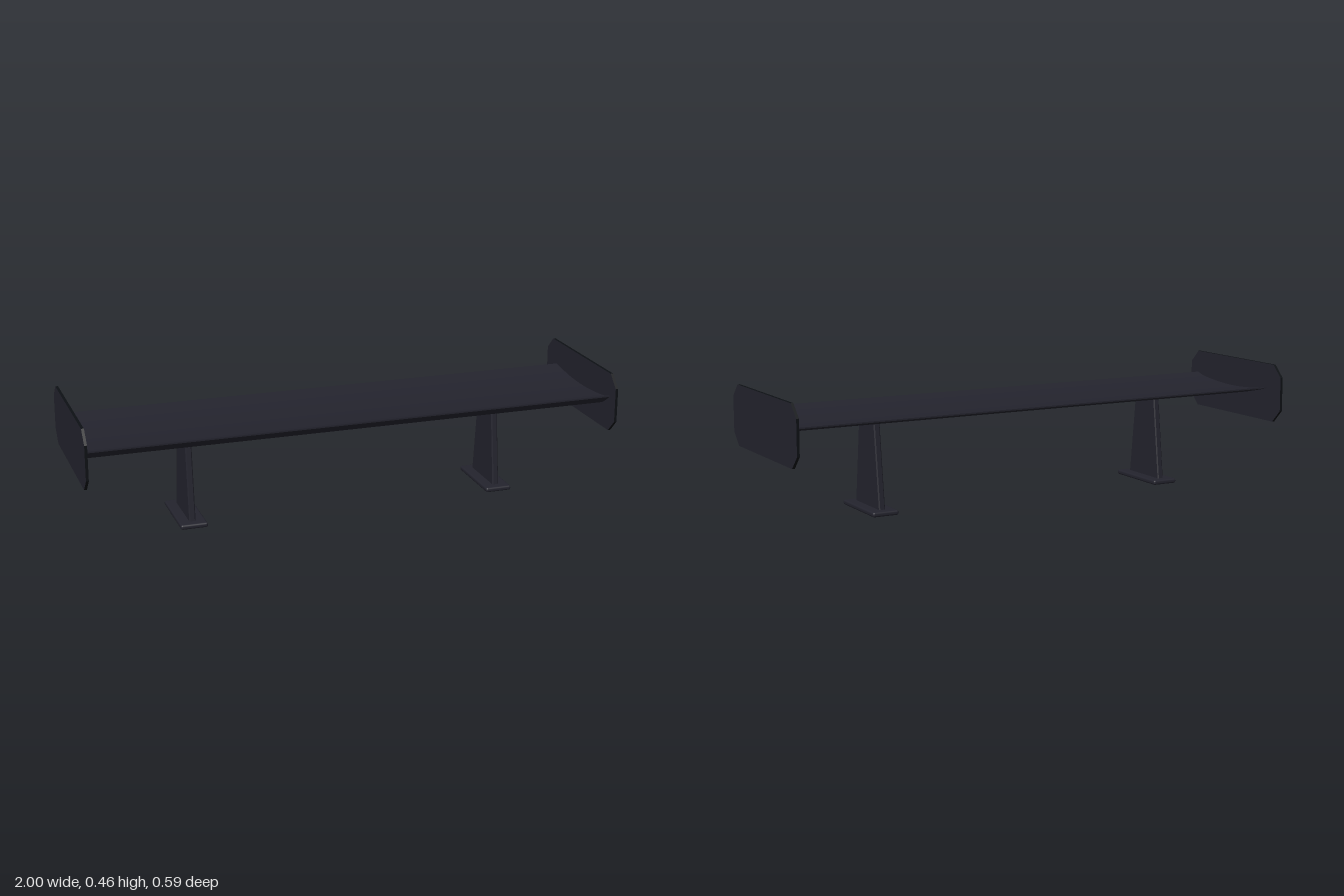
import * as THREE from 'three';
import { toCreasedNormals } from 'three/addons/utils/BufferGeometryUtils.js';
import { RoundedBoxGeometry } from 'three/addons/geometries/RoundedBoxGeometry.js';

const body = new THREE.MeshStandardMaterial({ color: 0x23232d });
body.name = 'charcoal';
const trim = new THREE.MeshStandardMaterial({ color: 0x0d1014 });
trim.name = 'black edge';

// Turns [z, y] points into a side-on shape whose extrusion runs along x
const v2 = ([z, y]) => new THREE.Vector2(-z, y);

function extrudeAcross(shape, width, bevel = 0) {
  const geometry = new THREE.ExtrudeGeometry(shape, {
    depth: width - 2 * bevel,
    bevelEnabled: bevel > 0,
    bevelThickness: bevel,
    bevelSize: bevel,
    bevelOffset: -bevel,
    bevelSegments: 1,
  });
  geometry.translate(0, 0, -width / 2 + bevel);
  return geometry.rotateY(Math.PI / 2);
}

function add(parent, name, geometry, material, x = 0, y = 0, z = 0) {
  const mesh = new THREE.Mesh(geometry, material);
  mesh.name = name;
  mesh.position.set(x, y, z);
  parent.add(mesh);
  return mesh;
}

export function createModel() {
  const model = new THREE.Group();
  model.name = 'rearWing';

  // Blade: dished top, deeply bowed underside, thin raised edges
  const top = [[0.25, 0.369], [0.2, 0.356], [0.1, 0.346], [0, 0.343], [-0.1, 0.348], [-0.21, 0.363]];
  const under = [[-0.21, 0.358], [-0.1, 0.333], [0, 0.315], [0.08, 0.31], [0.15, 0.314], [0.2, 0.33], [0.25, 0.364]];
  const smooth = (points) => new THREE.SplineCurve(points.map(v2)).getPoints(20);
  const section = new THREE.Shape([...smooth(top), ...smooth(under)]);
  add(model, 'blade', toCreasedNormals(extrudeAcross(section, 1.984), 0.6), body);

  // End plates: chamfered rectangles with dark rims
  const plate = new THREE.Shape([
    [0.297, 0.28], [0.297, 0.409], [0.251, 0.455], [-0.251, 0.455],
    [-0.297, 0.409], [-0.297, 0.28], [-0.251, 0.233], [0.251, 0.233],
  ].map(v2));
  const plateGeometry = extrudeAcross(plate, 0.01);

  // Struts: tapered uprights that sink into the blade
  const strut = new THREE.Shape([
    [0.127, 0.01], [0.09, 0.325], [-0.04, 0.325], [-0.078, 0.01],
  ].map(v2));
  const strutGeometry = extrudeAcross(strut, 0.024, 0.004);
  const footGeometry = new RoundedBoxGeometry(0.1, 0.018, 0.266, 2, 0.007);

  for (const [side, s] of [['left', 1], ['right', -1]]) {
    add(model, side + 'EndPlate', plateGeometry, [body, trim], s * 0.995);
    const mount = new THREE.Group();
    mount.name = side + 'Mount';
    mount.position.x = s * 0.592;
    add(mount, side + 'Strut', strutGeometry, body);
    add(mount, side + 'Foot', footGeometry, body, 0, 0.009, 0.024);
    model.add(mount);
  }
  return model;
}
